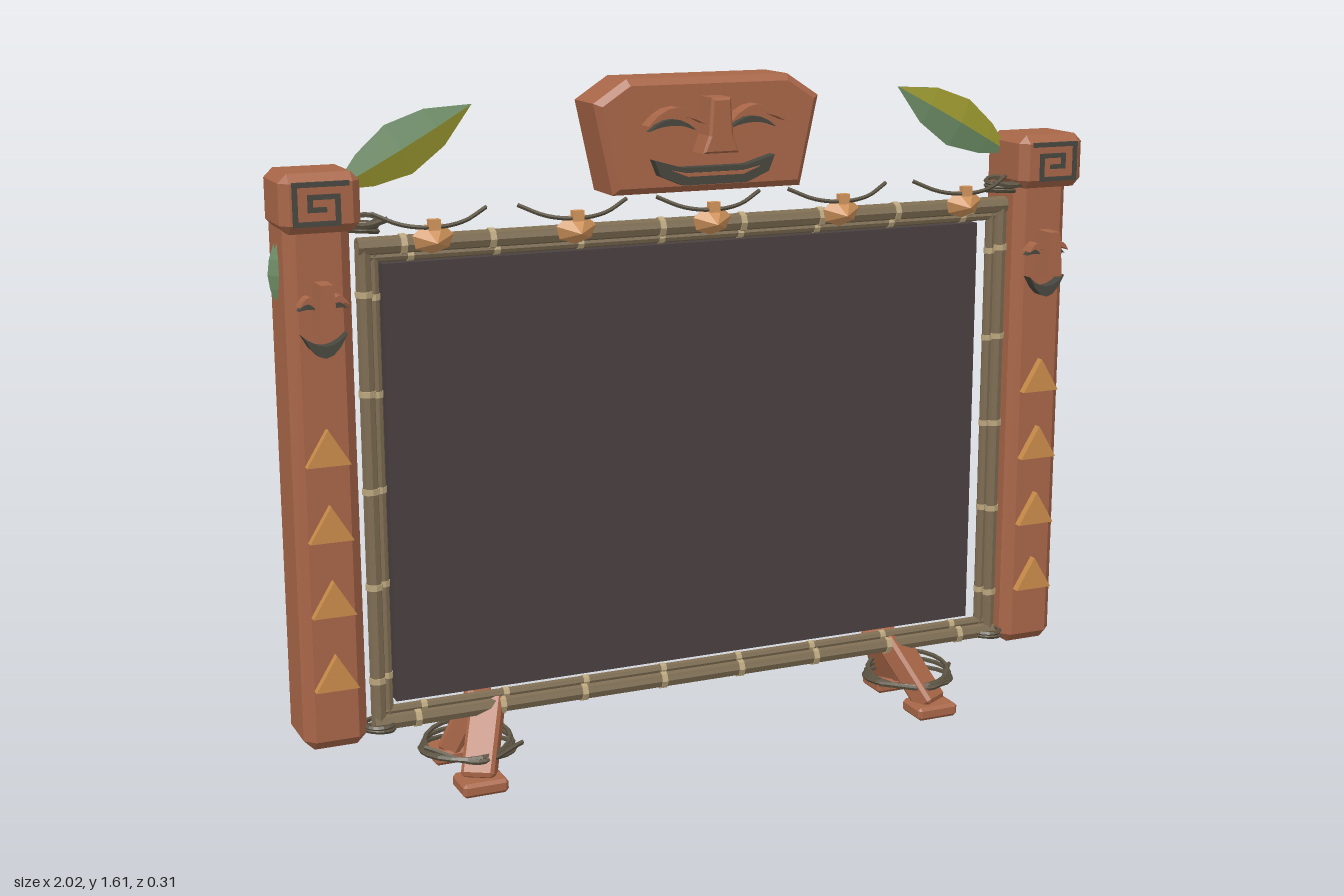
import * as THREE from 'three';
import { ConvexGeometry } from 'three/addons/geometries/ConvexGeometry.js';

const mat = (name, color, side = THREE.FrontSide) => {
  const m = new THREE.MeshStandardMaterial({ color, side, flatShading: true });
  m.name = name;
  return m;
};
const wood = mat('carved wood', 0xa86648);
const slate = mat('dark board', 0x4a4040);
const bamboo = mat('bamboo', 0x7d6c52);
const joint = mat('bamboo joint', 0xbba67e);
const rope = mat('rope', 0x5c5443);
const carving = mat('dark carving', 0x48473f);
const ochre = mat('ochre inlay', 0xcb8c4b);
const shellMat = mat('shell', 0xd3955c);
const green = mat('green leaf', 0x6f9068, THREE.DoubleSide);
const olive = mat('olive leaf', 0x99962f, THREE.DoubleSide);

const V = (x, y, z) => new THREE.Vector3(x, y, z);

function add(parent, name, geo, material, x = 0, y = 0, z = 0) {
  const m = new THREE.Mesh(geo, material);
  m.name = name;
  m.position.set(x, y, z);
  parent.add(m);
  return m;
}
const box = (p, name, m, w, h, d, x, y, z) => add(p, name, new THREE.BoxGeometry(w, h, d), m, x, y, z);

// Box with every edge cut at 45 degrees
function chamferBox(w, h, d, c) {
  const pts = [], s = [-1, 1];
  for (const i of s) for (const j of s) for (const k of s) {
    const x = i * w / 2, y = j * h / 2, z = k * d / 2;
    pts.push(V(x, y - j * c, z - k * c), V(x - i * c, y, z - k * c), V(x - i * c, y - j * c, z));
  }
  return new ConvexGeometry(pts);
}

// Flat outline given as [x, y] pairs, thickened towards +z
function plate(points, depth, bevel = 0) {
  const shape = new THREE.Shape(points.map(([x, y]) => new THREE.Vector2(x, y)));
  return new THREE.ExtrudeGeometry(shape, {
    depth, bevelEnabled: bevel > 0, bevelSize: bevel, bevelThickness: bevel, bevelOffset: -bevel, bevelSegments: 1,
  });
}

// Tapered arc: ends at y = 0, outer edge peaks at rise, inner edge at rise - thick
function crescent(halfW, rise, thick, depth) {
  const pts = [], n = 6;
  for (let i = 0; i <= n; i++) { const t = i / n * 2 - 1; pts.push([t * halfW, rise * (1 - t * t)]); }
  for (let i = n - 1; i > 0; i--) { const t = i / n * 2 - 1; pts.push([t * halfW, (rise - thick) * (1 - t * t)]); }
  return plate(pts, depth);
}

function tube(p, name, pts, r, m = rope) {
  return add(p, name, new THREE.TubeGeometry(new THREE.CatmullRomCurve3(pts), 16, r, 5), m);
}

function ring(p, name, rx, rz, r, x, y, z, tilt = 0) {
  const g = new THREE.TorusGeometry(1, r / rx, 5, 20);
  g.rotateX(Math.PI / 2);
  g.scale(rx, rx, rz);
  const m = add(p, name, g, rope, x, y, z);
  m.rotation.set(tilt, 0, tilt * 0.8);
  return m;
}

// Bamboo pole with evenly spaced joints
function pole(p, name, a, b, r, joints) {
  const len = a.distanceTo(b);
  const g = new THREE.Group();
  g.name = name;
  g.position.copy(a).lerp(b, 0.5);
  g.quaternion.setFromUnitVectors(V(0, 1, 0), b.clone().sub(a).normalize());
  add(g, 'cane', new THREE.CylinderGeometry(r, r, len, 8), bamboo);
  for (let i = 0; i < joints; i++) {
    add(g, 'joint', new THREE.CylinderGeometry(r * 1.15, r * 1.15, 0.014, 8), joint, 0, ((i + 0.5) / joints - 0.5) * len, 0);
  }
  p.add(g);
}

// Folded leaf along +x: two strips of faces either side of the midrib
function leaf(p, length, width, upperMat, lowerMat) {
  const g = new THREE.Group();
  g.name = 'leaf';
  const st = [[0, 0.1], [0.2, 0.65], [0.45, 1], [0.72, 0.75], [1, 0]];
  const half = (side, z0) => {
    const pos = [];
    for (let i = 0; i < st.length - 1; i++) {
      const [t0, w0] = st[i], [t1, w1] = st[i + 1];
      const a = [t0 * length, 0, z0 + 0.015 * w0], b = [t1 * length, 0, z0 + 0.015 * w1];
      const c = [t1 * length, side * w1 * width, z0], d = [t0 * length, side * w0 * width, z0];
      pos.push(...(side > 0 ? [a, b, c, a, c, d] : [a, c, b, a, d, c]).flat());
    }
    const geo = new THREE.BufferGeometry();
    geo.setAttribute('position', new THREE.Float32BufferAttribute(pos, 3));
    geo.computeVertexNormals();
    return geo;
  };
  for (const side of [1, -1]) {
    add(g, 'leafBack', half(side, -0.003), green);
    add(g, 'leafFront', half(side, 0.003), side > 0 ? upperMat : lowerMat);
  }
  p.add(g);
  return g;
}

function beam(p, name, a, b, w, d) {
  const m = add(p, name, chamferBox(w, d, a.distanceTo(b), 0.008), wood);
  m.position.copy(a).lerp(b, 0.5);
  m.lookAt(b);
}

export function createModel() {
  const root = new THREE.Group();
  root.name = 'totemNoticeBoard';

  // Board and double bamboo frame
  box(root, 'board', slate, 1.515, 1.02, 0.035, 0, 0.713, -0.018);
  for (const [y, dir] of [[1.268, -1], [0.168, 1]]) {
    pole(root, 'framePole', V(-0.82, y, 0.022), V(0.82, y, 0.022), 0.021, 8);
    pole(root, 'thinFramePole', V(-0.8, y + dir * 0.025, 0.018), V(0.8, y + dir * 0.025, 0.018), 0.012, 8);
  }
  for (const s of [-1, 1]) {
    pole(root, 'framePole', V(s * 0.807, 0.16, 0.022), V(s * 0.807, 1.275, 0.022), 0.018, 5);
    pole(root, 'thinFramePole', V(s * 0.783, 0.17, 0.018), V(s * 0.783, 1.265, 0.018), 0.012, 5);
  }

  for (const s of [-1, 1]) {
    const side = new THREE.Group();
    side.name = s > 0 ? 'leftPost' : 'rightPost';
    root.add(side);
    const px = s * 0.912;

    // Post and cap
    add(side, 'post', chamferBox(0.147, 1.28, 0.165, 0.024), wood, px, 0.77, -0.027);
    add(side, 'cap', chamferBox(0.177, 0.13, 0.165, 0.02), wood, px, 1.377, 0.013);

    // Square spiral on the cap
    const path = [[0.055, 0.042], [-0.058, 0.042], [-0.058, -0.042], [0.035, -0.042], [0.035, 0.015], [-0.025, 0.015], [-0.025, -0.012], [0.005, -0.012]];
    for (let i = 1; i < path.length; i++) {
      const [x0, y0] = path[i - 1], [x1, y1] = path[i];
      box(side, 'spiral', carving, Math.abs(x1 - x0) + 0.011, Math.abs(y1 - y0) + 0.011, 0.007,
        px - s * (x0 + x1) / 2, 1.377 + (y0 + y1) / 2, 0.097);
    }

    // Small face on the post
    add(side, 'nose', plate([[-0.022, 0], [0.022, 0], [0.014, 0.11], [-0.014, 0.11]], 0.06), wood, px, 1.095, 0.055);
    for (const e of [-1, 1]) {
      add(side, 'brow', crescent(0.022, 0.022, 0.014, 0.035), wood, px + e * 0.033, 1.155, 0.055);
      add(side, 'eye', crescent(0.02, 0.014, 0.011, 0.02), carving, px + e * 0.034, 1.145, 0.055);
    }
    const mouth = add(side, 'mouth', crescent(0.05, 0.052, 0.026, 0.03), carving, px, 1.092, 0.085);
    mouth.rotation.z = Math.PI;
    mouth.position.z = 0.054;

    // Triangular inlays
    for (let i = 0; i < 4; i++) {
      add(side, 'triangleInlay', plate([[-0.05, -0.04], [0.05, -0.04], [0, 0.042]], 0.022), ochre, px, 0.318 + i * 0.173, 0.053);
    }

    // Leaves
    const big = leaf(side, 0.35, 0.062, s < 0 ? green : olive, s < 0 ? olive : green);
    big.position.set(s * 0.845, 1.395, -0.02);
    big.rotation.z = s < 0 ? 0.5 : Math.PI - 0.5;
    if (s > 0) { // keep the front of the fold facing forward
      big.rotation.set(Math.PI, 0, Math.PI - 0.5);
      big.rotation.order = 'ZXY';
      big.children.forEach((m) => { m.rotation.x = 0; });
      big.rotation.set(0, Math.PI, 0.5);
      big.rotation.order = 'YZX';
      big.children.forEach((m) => { m.scale.z = -1; });
    }
    const small = leaf(side, 0.13, 0.018, green, green);
    small.rotation.set(0, s * Math.PI / 2, Math.PI / 2 - 0.1, 'YZX');
    small.position.set(s * 0.99, 1.155, -0.025);

    // Rope lashings at the frame corners
    for (const [y, n] of [[1.315, 3], [0.165, 2]]) {
      for (let i = 0; i < n; i++) ring(side, 'lashing', 0.034, 0.036, 0.006, s * 0.807, y + i * 0.012 - 0.012, 0.02, (i - 1) * 0.12);
    }
    tube(side, 'lashingEnd', [V(s * 0.86, 1.325, 0.06), V(s * 0.81, 1.32, 0.07), V(s * 0.76, 1.33, 0.06)], 0.007);

    // Splayed feet bound with rope
    const foot = new THREE.Group();
    foot.name = 'foot';
    side.add(foot);
    for (const f of [-1, 1]) {
      add(foot, 'footPad', chamferBox(0.11, 0.034, 0.092, 0.008), wood, s * 0.595, 0.017, f * 0.107);
      beam(foot, 'leg', V(s * 0.6, 0.025, f * 0.107), V(s * 0.535, 0.18, f > 0 ? -0.005 : -0.065), 0.078, 0.055);
    }
    for (let i = 0; i < 3; i++) ring(foot, 'footRope', 0.112 - i * 0.006, 0.108, 0.006, s * 0.59, 0.064 + i * 0.011, 0, (i - 1) * 0.08);
    tube(foot, 'ropeEnd', [V(s * 0.7, 0.088, 0.02), V(s * 0.6, 0.07, 0.115), V(s * 0.475, 0.08, 0.06)], 0.006);
  }

  // Large carved head
  const head = new THREE.Group();
  head.name = 'head';
  root.add(head);
  add(head, 'headBlock', plate([[-0.235, 1.352], [0.235, 1.352], [0.28, 1.56], [0.2, 1.612], [-0.2, 1.612], [-0.28, 1.56]], 0.115, 0.015), wood, 0, 0, -0.055);
  add(head, 'nose', plate([[-0.045, 1.445], [0.045, 1.445], [0.03, 1.485], [0.024, 1.57], [-0.024, 1.57], [-0.03, 1.485]], 0.065, 0.006), wood, 0, 0, 0.068);
  for (const e of [-1, 1]) {
    add(head, 'brow', crescent(0.07, 0.04, 0.02, 0.045), wood, e * 0.1, 1.51, 0.073);
    add(head, 'eye', crescent(0.058, 0.026, 0.014, 0.02), carving, e * 0.1, 1.495, 0.073);
  }
  const smile = plate([[-0.15, 1.432], [-0.135, 1.395], [-0.08, 1.372], [0.08, 1.372], [0.135, 1.395], [0.15, 1.432], [0.08, 1.412], [-0.08, 1.412]], 0.03);
  add(head, 'mouth', smile, carving, 0, 0, 0.073);
  add(head, 'lip', plate([[-0.11, 1.408], [-0.07, 1.392], [0.07, 1.392], [0.11, 1.408], [0.07, 1.4], [-0.07, 1.4]], 0.008), wood, 0, 0, 0.1);

  // Shell garland
  for (let i = -2; i <= 2; i++) {
    const x = i * 0.333;
    const charm = new THREE.Group();
    charm.name = 'shellCharm';
    charm.position.set(x, 0, 0);
    root.add(charm);
    tube(charm, 'string', [V(-0.13, 1.345, 0.062), V(-0.07, 1.32, 0.085), V(0, 1.312, 0.095), V(0.07, 1.32, 0.085), V(0.13, 1.345, 0.062)], 0.005);
    const fan = new THREE.ConeGeometry(0.046, 0.036, 7);
    fan.rotateX(Math.PI / 2);
    fan.scale(1.05, 0.78, 1);
    add(charm, 'shell', fan, shellMat, 0, 1.283, 0.101).rotation.x = 0.2;
    add(charm, 'shellHinge', new THREE.BoxGeometry(0.026, 0.024, 0.018), shellMat, 0, 1.318, 0.094);
  }
  return root;
}
